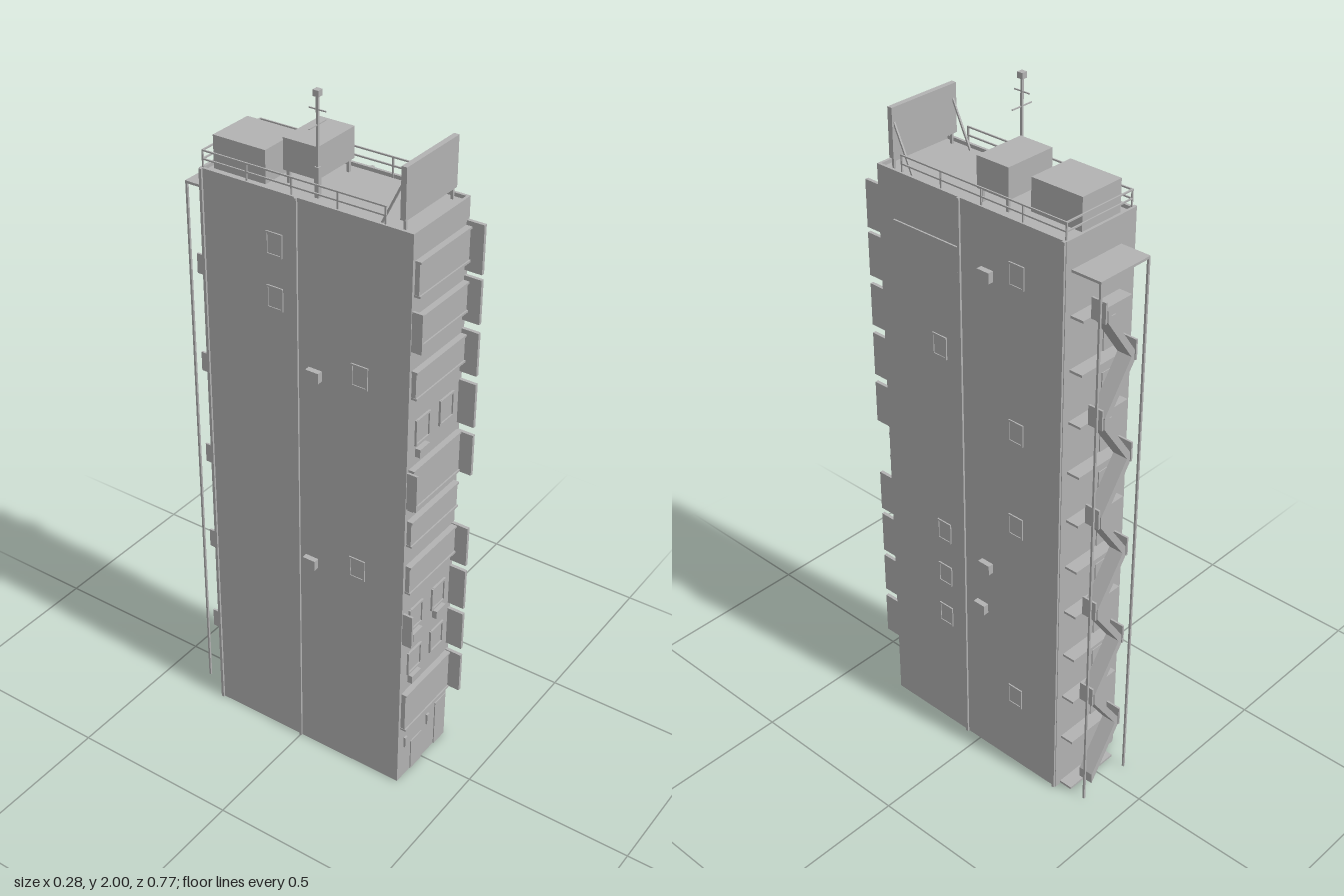
import * as THREE from 'three';

const concrete = new THREE.MeshStandardMaterial({ color: 0xb2b2b2 });
concrete.name = 'concrete grey';

// Adds a box given by its min/max on each axis
function box(parent, name, [x0, x1], [y0, y1], [z0, z1]) {
  const mesh = new THREE.Mesh(new THREE.BoxGeometry(x1 - x0, y1 - y0, z1 - z0), concrete);
  mesh.position.set((x0 + x1) / 2, (y0 + y1) / 2, (z0 + z1) / 2);
  mesh.name = name;
  parent.add(mesh);
  return mesh;
}

// Range around a centre
const span = (c, size) => [c - size / 2, c + size / 2];

// Square bar between two points
function bar(parent, name, a, b, t) {
  const from = new THREE.Vector3(...a), to = new THREE.Vector3(...b);
  const mesh = new THREE.Mesh(new THREE.BoxGeometry(t, t, from.distanceTo(to)), concrete);
  mesh.position.copy(from).add(to).multiplyScalar(0.5);
  const dir = to.clone().sub(from).normalize();
  mesh.quaternion.setFromUnitVectors(new THREE.Vector3(0, 0, 1), dir);
  mesh.name = name;
  parent.add(mesh);
}

function group(parent, name) {
  const g = new THREE.Group();
  g.name = name;
  parent.add(g);
  return g;
}

const W = 0.125, TOP = 1.735, BACK = -0.295, FRONT = 0.335;

function buildShell(root) {
  // Hollow tower, open underneath, with a low parapet
  const g = group(root, 'tower');
  const t = 0.008;
  box(g, 'leftWall', [W - t, W], [0, TOP], [BACK, FRONT]);
  box(g, 'rightWall', [-W, -W + t], [0, TOP], [BACK, FRONT]);
  box(g, 'frontWall', [-W + t, W - t], [0, TOP], [FRONT - t, FRONT]);
  box(g, 'backWall', [-W + t, W - t], [0, TOP], [BACK, BACK + t]);
  box(g, 'roofSlab', [-W + t, W - t], [1.712, 1.725], [BACK + t, FRONT - t]);
  // Downpipes
  for (const s of [-1, 1]) {
    for (const z of [BACK + 0.006, s > 0 ? 0.05 : 0.0]) {
      box(g, 'downpipe', span(s * 0.127, 0.008), [0, TOP], span(z, 0.008));
    }
  }
}

// Window: raised frame around a thin pane; side 'x' walls or 'z' walls
function sideWindow(parent, s, y, z) {
  const g = group(parent, 'sideWindow');
  const w = 0.05, h = 0.065, f = 0.005;
  const x = span(s * (W + 0.001), 0.006);
  for (const d of [-1, 1]) {
    box(g, 'jamb', x, span(y, h), span(z + d * (w - f) / 2, f));
    box(g, 'ledge', x, span(y + d * (h - f) / 2, f), span(z, w - 2 * f));
  }
  box(g, 'pane', span(s * W, 0.003), span(y, h - 2 * f), span(z, w - 2 * f));
}

function buildSides(root) {
  const g = group(root, 'sideDetails');
  for (const y of [1.59, 1.14, 0.845, 0.25]) sideWindow(g, 1, y, -0.14);
  for (const y of [1.29, 0.695, 0.545, 0.4]) sideWindow(g, 1, y, 0.127);
  for (const y of [1.59, 1.44]) sideWindow(g, -1, y, -0.067);
  for (const y of [1.3, 0.7]) sideWindow(g, -1, y, 0.19);
  // Air conditioners
  for (const [s, y, z] of [[1, 1.56, -0.042], [1, 0.66, -0.035], [1, 0.51, -0.016],
    [-1, 1.26, 0.055], [-1, 0.66, 0.042]]) {
    box(g, 'airConditioner', span(s * 0.133, 0.017), span(y, 0.03), span(z, 0.04));
  }
  box(g, 'wallBillboard', [W, 0.13], [1.37, 1.6], [0.055, 0.28]);
}

function buildFront(root) {
  const g = group(root, 'frontDetails');
  // Wide sign panels, with a thin rim around the taller ones
  for (const [y0, y1] of [[1.57, 1.66], [1.43, 1.51], [1.285, 1.36], [0.95, 1.07],
    [0.835, 0.91], [0.68, 0.765], [0.195, 0.32]]) {
    box(g, 'signPanel', [-0.115, 0.11], [y0, y1], [FRONT, 0.348]);
    for (const y of [y0, y1]) box(g, 'signRim', [-0.116, 0.111], span(y, 0.006), [FRONT, 0.352]);
  }
  // Projecting blade signs, stacked along the left edge
  for (const [y0, y1] of [[1.54, 1.675], [1.4, 1.525], [1.25, 1.375], [1.095, 1.225], [0.945, 1.07],
    [0.645, 0.77], [0.495, 0.625], [0.35, 0.475], [0.195, 0.325]]) {
    box(g, 'bladeSign', [0.112, 0.122], [y0, y1], [FRONT, 0.385]);
  }
  for (const [y0, y1] of [[1.42, 1.53], [0.955, 1.065], [0.505, 0.61]]) {
    box(g, 'smallBladeSign', [-0.122, -0.115], [y0, y1], [FRONT, 0.365]);
  }
  // Framed windows
  for (const y of [1.17, 0.565, 0.415]) {
    for (const x of [-0.06, 0.052]) {
      box(g, 'windowPane', span(x, 0.054), span(y, 0.064), [FRONT, 0.337]);
      for (const d of [-1, 1]) {
        box(g, 'windowJamb', span(x + d * 0.03, 0.006), span(y, 0.075), [FRONT, 0.341]);
        box(g, 'windowLedge', span(x, 0.054), span(y + d * 0.035, 0.006), [FRONT, 0.341]);
      }
    }
  }
  for (const [x, y] of [[-0.065, 1.11], [-0.065, 0.51], [0.052, 0.51], [-0.065, 0.36]]) {
    box(g, 'windowAirConditioner', span(x, 0.045), span(y, 0.025), [FRONT, 0.35]);
  }
  // Entrances and wall lamps
  box(g, 'door', [-0.06, -0.005], [0, 0.105], [0.325, 0.338]);
  box(g, 'sideDoor', [0.065, 0.12], [0, 0.155], [0.325, 0.338]);
  for (const x of [-0.09, 0.025]) box(g, 'wallLamp', span(x, 0.012), [0.11, 0.145], [FRONT, 0.341]);
}

function buildRoof(root) {
  const g = group(root, 'roofDetails');
  box(g, 'machineRoom', [-0.092, 0.048], [1.72, 1.815], [-0.275, -0.115]);
  box(g, 'waterTank', [-0.06, 0.095], [1.76, 1.845], [-0.085, 0.018]);
  for (const x of [-0.05, 0.085]) for (const z of [-0.075, 0.008]) {
    box(g, 'tankLeg', span(x, 0.008), [1.72, 1.76], span(z, 0.008));
  }
  // Billboard with legs and struts
  box(g, 'roofBillboard', [-0.115, 0.11], [1.755, 1.89], [0.29, 0.305]);
  for (const x of [-0.104, 0.102]) {
    box(g, 'billboardLeg', span(x, 0.006), [1.72, 1.76], [0.294, 0.301]);
    bar(g, 'billboardStrut', [x, 1.85, 0.292], [x, 1.725, 0.207 + 0.025], 0.005);
  }
  // Railings on three sides
  for (const y of [1.757, 1.78]) {
    for (const x of [-0.118, 0.118]) box(g, 'sideRail', span(x, 0.004), span(y, 0.004), [-0.29, 0.255]);
    box(g, 'backRail', [-0.118, 0.118], span(y, 0.004), [-0.29, -0.286]);
  }
  for (const x of [-0.118, 0.118]) for (let i = 0; i < 5; i++) {
    box(g, 'railPost', span(x, 0.004), [1.72, 1.782], span(-0.288 + i * 0.135, 0.004));
  }
  // Antenna
  const ax = -0.077, az = 0.03;
  box(g, 'mastBase', span(ax, 0.012), [1.72, 1.805], span(az, 0.012));
  box(g, 'mast', span(ax, 0.006), [1.8, 1.985], span(az, 0.006));
  box(g, 'mastCap', span(ax, 0.017), [1.984, 2], span(az, 0.017));
  box(g, 'crossbar', span(ax, 0.07), span(1.912, 0.003), span(az, 0.003));
  box(g, 'crossbar', span(ax, 0.003), span(1.95, 0.003), span(az, 0.05));
}

function buildFireEscape(root) {
  const g = group(root, 'fireEscape');
  const X0 = -0.075, X1 = 0.105, zIn = -0.335, zOut = -0.38;
  for (const x of [X0 + 0.003, X1 - 0.003]) box(g, 'post', span(x, 0.006), [0, 1.652], [-0.385, -0.379]);
  box(g, 'canopy', [X0, X1], [1.649, 1.656], [-0.385, BACK]);
  const level = i => 0.03 + i * 0.15;
  for (let i = 0; i <= 10; i++) {
    const y = i ? level(i) : 0.006, left = i % 2 === 0;
    box(g, 'landing', [X0, X1], span(y, 0.007), [zIn, BACK]);
    // Guard plate and short turn at the end where the flights meet
    if (i) box(g, 'guardPlate', left ? [0.072, 0.078] : [-0.048, -0.042], [y, y + 0.058], [zOut, zIn]);
    // Sloping flight to the next landing
    if (i < 10) {
      const a = left ? 0.068 : -0.038, b = left ? -0.038 : 0.068, h = 0.032;
      const y0 = level(i), y1 = level(i + 1);
      const shape = new THREE.Shape([[a, y0], [b, y1], [b, y1 + h], [a, y0 + h]]
        .map(p => new THREE.Vector2(...p)));
      const geo = new THREE.ExtrudeGeometry(shape, { depth: zIn - zOut, bevelEnabled: false });
      const flight = new THREE.Mesh(geo, concrete);
      flight.name = 'stairFlight';
      flight.position.z = zOut;
      g.add(flight);
      // Escape door
      if (i) box(g, 'escapeDoor', span(-0.04, 0.045), [y, y + 0.09], [BACK - 0.003, BACK]);
    }
  }
}

export function createModel() {
  const root = new THREE.Group();
  root.name = 'narrowTowerBlock';
  buildShell(root);
  buildSides(root);
  buildFront(root);
  buildRoof(root);
  buildFireEscape(root);
  return root;
}
